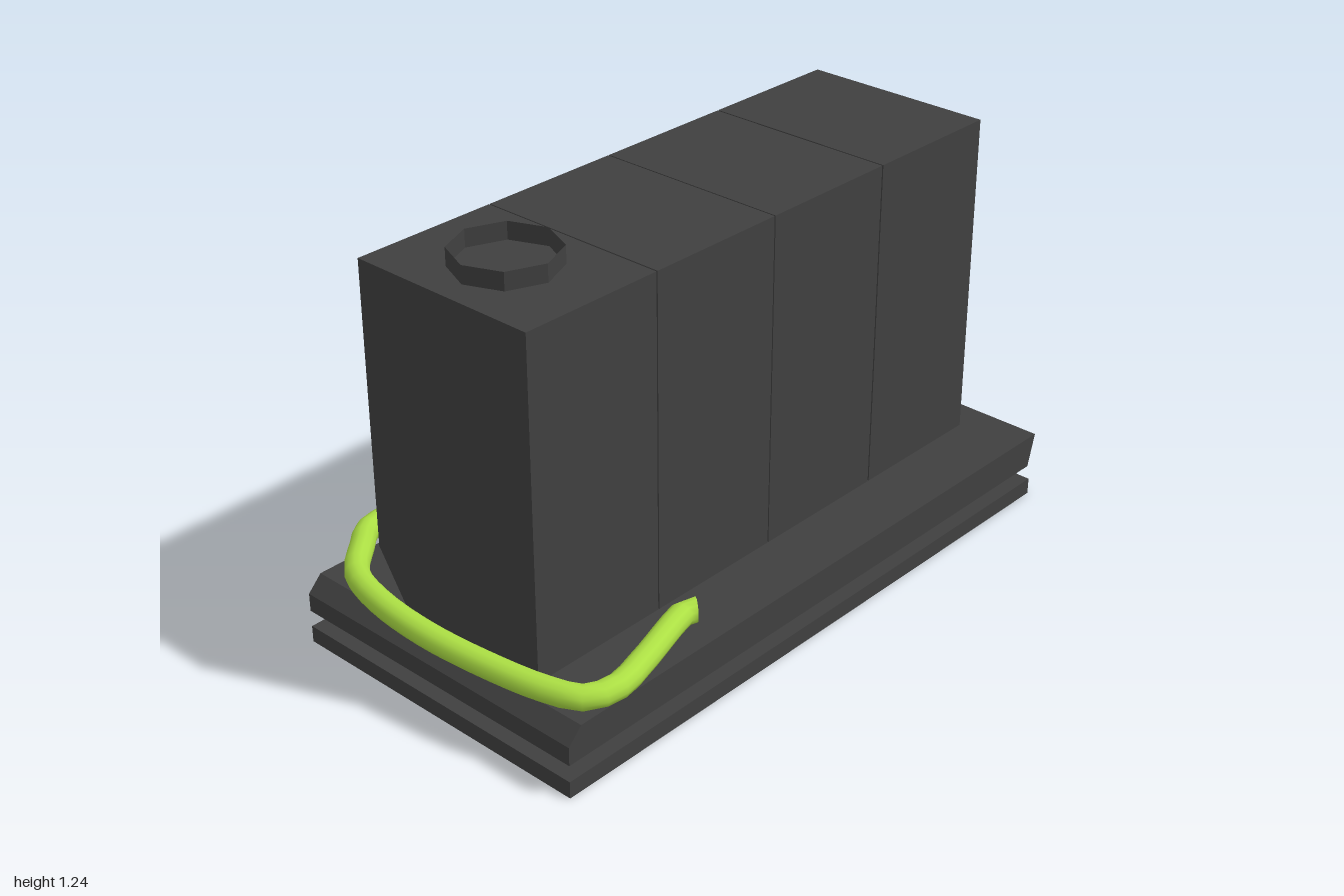
import * as THREE from 'three';

const mat = (color, extra = {}) => new THREE.MeshStandardMaterial({ color, ...extra });
const DARK = mat(0x404040);
const DARK_OPEN = mat(0x404040, { side: THREE.DoubleSide, flatShading: true });
const METAL = mat(0xcccccc, { flatShading: true });
const GREEN = mat(0xacdf44, { side: THREE.DoubleSide });

const polygon = (pts) => new THREE.Shape(pts.map(([x, y]) => new THREE.Vector2(x, y)));
const extrude = (shape, depth) => new THREE.ExtrudeGeometry(shape, { depth, bevelEnabled: false });

export function createModel() {
  const model = new THREE.Group();
  const add = (name, geometry, material = DARK, parent = model) => {
    const mesh = new THREE.Mesh(geometry, material);
    mesh.name = name;
    parent.add(mesh);
    return mesh;
  };
  // Box given by its limits on each axis
  const box = (name, [x0, x1], [y0, y1], [z0, z1], parent) => {
    const g = new THREE.BoxGeometry(x1 - x0, y1 - y0, z1 - z0);
    g.translate((x0 + x1) / 2, (y0 + y1) / 2, (z0 + z1) / 2);
    return add(name, g, DARK, parent);
  };

  // Open rectangular frame on the ground
  const rect = (x0, x1, y0, y1) => [[x0, y0], [x1, y0], [x1, y1], [x0, y1]];
  const ring = polygon(rect(-0.976, 0.986, -0.53, 0.46));
  ring.holes.push(polygon(rect(-0.915, 0.925, -0.47, 0.40)));
  add('lowerFrame', extrude(ring, 0.05).rotateX(-Math.PI / 2));

  // Base plate: bevelled ends, hollow underneath
  const plate = new THREE.Group();
  plate.name = 'basePlate';
  model.add(plate);
  const top = [[0.973, 0.1], [1.0, 0.2], [-0.932, 0.2], [-0.976, 0.155], [-0.976, 0.1]];
  const solid = polygon(top);
  const hollow = polygon([...top, [-0.89, 0.1], [-0.89, 0.192], [0.89, 0.192], [0.89, 0.1]]);
  add('plateBackRim', extrude(solid, 0.08).translate(0, 0, -0.46), DARK, plate);
  add('plateMiddle', extrude(hollow, 0.83).translate(0, 0, -0.38), DARK, plate);
  add('plateFrontRim', extrude(solid, 0.08).translate(0, 0, 0.45), DARK, plate);

  // Four body sections, side profile extruded along x (profile x is -z)
  const slab = (name, x0, x1, d) => {
    const profile = polygon([
      [-0.33 + d, 0.2], [0.165 - d, 0.2], [0.262 - d, 0.35], [0.262 - d, 1.186 - d], [-0.33 + d, 1.186 - d],
    ]);
    add(name, extrude(profile, x1 - x0).rotateY(Math.PI / 2).translate(x0, 0, 0));
  };
  for (const [x0, x1] of [[-0.882, -0.442], [-0.438, 0], [0.004, 0.445], [0.45, 0.893]]) {
    slab('bodySection', x0, x1, 0);
  }
  // Inner core closing the first two seams
  slab('bodyCore', -0.5, 0.1, 0.006);

  // Open eight-sided collar on top
  add('fillerCollar', new THREE.CylinderGeometry(0.147, 0.147, 0.053, 8, 1, true), DARK_OPEN)
    .position.set(-0.663, 1.211, 0.035);

  // Back panel with end caps, rails and latch tabs
  const panel = new THREE.Group();
  panel.name = 'backPanel';
  model.add(panel);
  box('panelPlate', [0.004, 0.893], [0.62, 0.915], [-0.284, -0.255], panel);
  for (const x of [0.004, 0.883]) {
    box('panelEnd', [x, x + 0.01], [0.625, 0.91], [-0.29, -0.28], panel);
  }
  for (const [y0, y1] of [[0.725, 0.91], [0.682, 0.715], [0.625, 0.672]]) {
    box('panelRail', [0.014, 0.883], [y0, y1], [-0.29, -0.28], panel);
  }
  const latch = polygon([[0.59, 0.905], [0.59, 0.79], [0.62, 0.77], [0.69, 0.80], [0.74, 0.83], [0.74, 0.905]]);
  add('latchTab', extrude(latch, 0.016).translate(0, 0, -0.297), DARK, panel);
  box('latchTab', [0.38, 0.51], [0.875, 0.905], [-0.297, -0.281], panel);

  // Hose fitting
  add('hoseNut', new THREE.CylinderGeometry(0.044, 0.044, 0.065, 8).rotateX(Math.PI / 2), METAL)
    .position.set(-0.667, 0.447, -0.29);

  // Hose: drops from the fitting, loops behind and wraps round to the obliquely cut front end
  const path = [
    [-0.665, 0.442, -0.30], [-0.665, 0.432, -0.395], [-0.665, 0.385, -0.427], [-0.665, 0.31, -0.415],
    [-0.64, 0.25, -0.385], [-0.50, 0.24, -0.36], [-0.37, 0.237, -0.343], [-0.31, 0.236, -0.36],
    [-0.284, 0.23, -0.43], [-0.31, 0.223, -0.478], [-0.40, 0.217, -0.51], [-0.62, 0.215, -0.526],
    [-0.72, 0.222, -0.508], [-0.80, 0.232, -0.44], [-0.905, 0.24, -0.335], [-0.948, 0.24, -0.20],
    [-0.965, 0.238, 0], [-0.95, 0.236, 0.22], [-0.92, 0.236, 0.40], [-0.88, 0.236, 0.494],
    [-0.80, 0.238, 0.522], [-0.68, 0.237, 0.495], [-0.48, 0.235, 0.432], [-0.43, 0.235, 0.424],
    [-0.412, 0.235, 0.438],
  ].map((p) => new THREE.Vector3(...p));
  const curve = new THREE.CatmullRomCurve3(path, false, 'centripetal');
  add('hose', new THREE.TubeGeometry(curve, 56, 0.035, 12, false), GREEN);

  return model;
}
